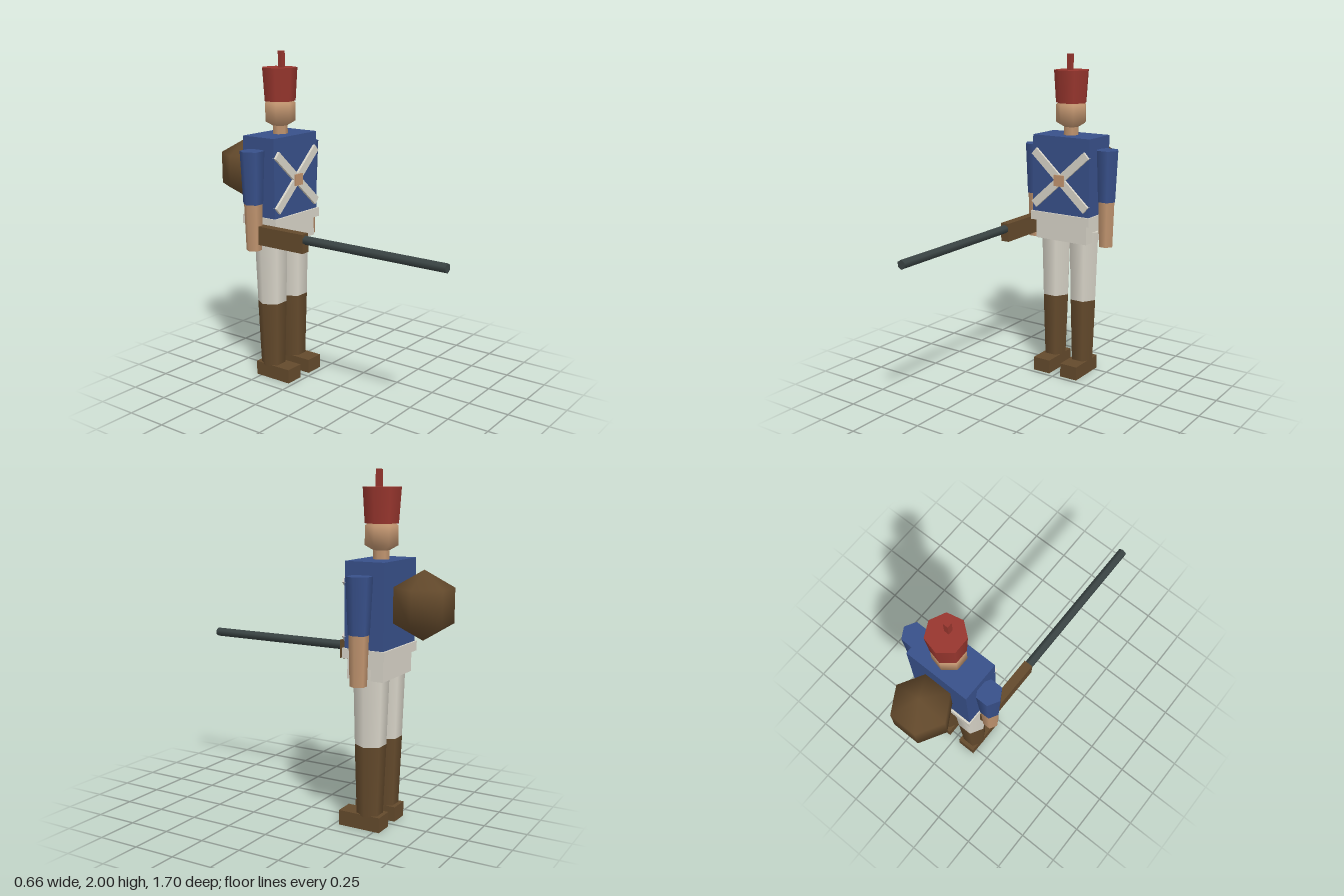
import * as THREE from 'three';

const mat = (name, color) => {
  const m = new THREE.MeshStandardMaterial({ color });
  m.name = name;
  return m;
};

export function createModel() {
  const blue = mat('coat blue', 0x38508a);
  const red = mat('hat red', 0x98362e);
  const skin = mat('skin', 0xc0946f);
  const cream = mat('cream cloth', 0xd8d4c8);
  const brown = mat('brown leather', 0x644a2c);
  const steel = mat('dark steel', 0x3a4444);

  const model = new THREE.Group();
  model.name = 'toySoldier';
  const Z = -0.446; // depth of the body axis

  const add = (name, geometry, material, x, y, z) => {
    const mesh = new THREE.Mesh(geometry, material);
    mesh.name = name;
    mesh.position.set(x, y, z);
    model.add(mesh);
    return mesh;
  };
  // Box given by its bottom and top heights
  const box = (name, material, w, y0, y1, d, x = 0, z = Z) =>
    add(name, new THREE.BoxGeometry(w, y1 - y0, d), material, x, (y0 + y1) / 2, z);
  // Tapered prism with a corner pointing along +x
  const taper = (name, material, rTop, rBottom, y0, y1, sides, x = 0) => {
    const g = new THREE.CylinderGeometry(rTop, rBottom, y1 - y0, sides).rotateY(Math.PI / 2);
    return add(name, g, material, x, (y0 + y1) / 2, Z);
  };

  // Torso, belt and hips
  box('torso', blue, 0.4, 1.04, 1.515, 0.235);
  box('belt', cream, 0.414, 0.985, 1.04, 0.258);
  box('hips', cream, 0.36, 0.867, 0.985, 0.218);

  // Limbs
  for (const [side, s] of [['left', 1], ['right', -1]]) {
    taper(side + 'Sleeve', blue, 0.073, 0.059, 1.13, 1.443, 6, s * 0.255);
    taper(side + 'Forearm', skin, 0.055, 0.047, 0.85, 1.14, 6, s * 0.255);
    taper(side + 'Trouser', cream, 0.101, 0.088, 0.49, 0.93, 6, s * 0.101);
    taper(side + 'Boot', brown, 0.0885, 0.074, 0.08, 0.49, 6, s * 0.101);
    box(side + 'Foot', brown, 0.117, 0, 0.087, 0.255, s * 0.1, -0.406);
  }

  // Crossed chest straps and clasp
  for (const s of [1, -1]) {
    const strap = box('chestStrap', cream, 0.497, 1.227, 1.277, 0.024, 0, -0.325);
    strap.rotation.z = s * 0.733;
  }
  box('clasp', skin, 0.068, 1.216, 1.284, 0.026, 0, -0.315);

  // Neck, head, hat and plume
  taper('neck', skin, 0.046, 0.046, 1.5, 1.6, 7);
  add('head', new THREE.SphereGeometry(0.108, 7, 3).rotateY(Math.PI), skin, 0, 1.646, Z);
  taper('hat', red, 0.108, 0.095, 1.71, 1.905, 7);
  box('plume', red, 0.029, 1.9, 2.0, 0.029, 0, -0.427);

  // Round pack on the back
  add('backpack', new THREE.SphereGeometry(0.193, 6, 3), brown, 0, 1.277, -0.704);

  // Musket held in the right hand
  box('musketStock', brown, 0.054, 0.888, 1.0, 0.41, -0.236, -0.28);
  add('musketBarrel', new THREE.CylinderGeometry(0.027, 0.027, 0.95, 6).rotateX(Math.PI / 2),
    steel, -0.236, 0.964, 0.375);

  return model;
}
